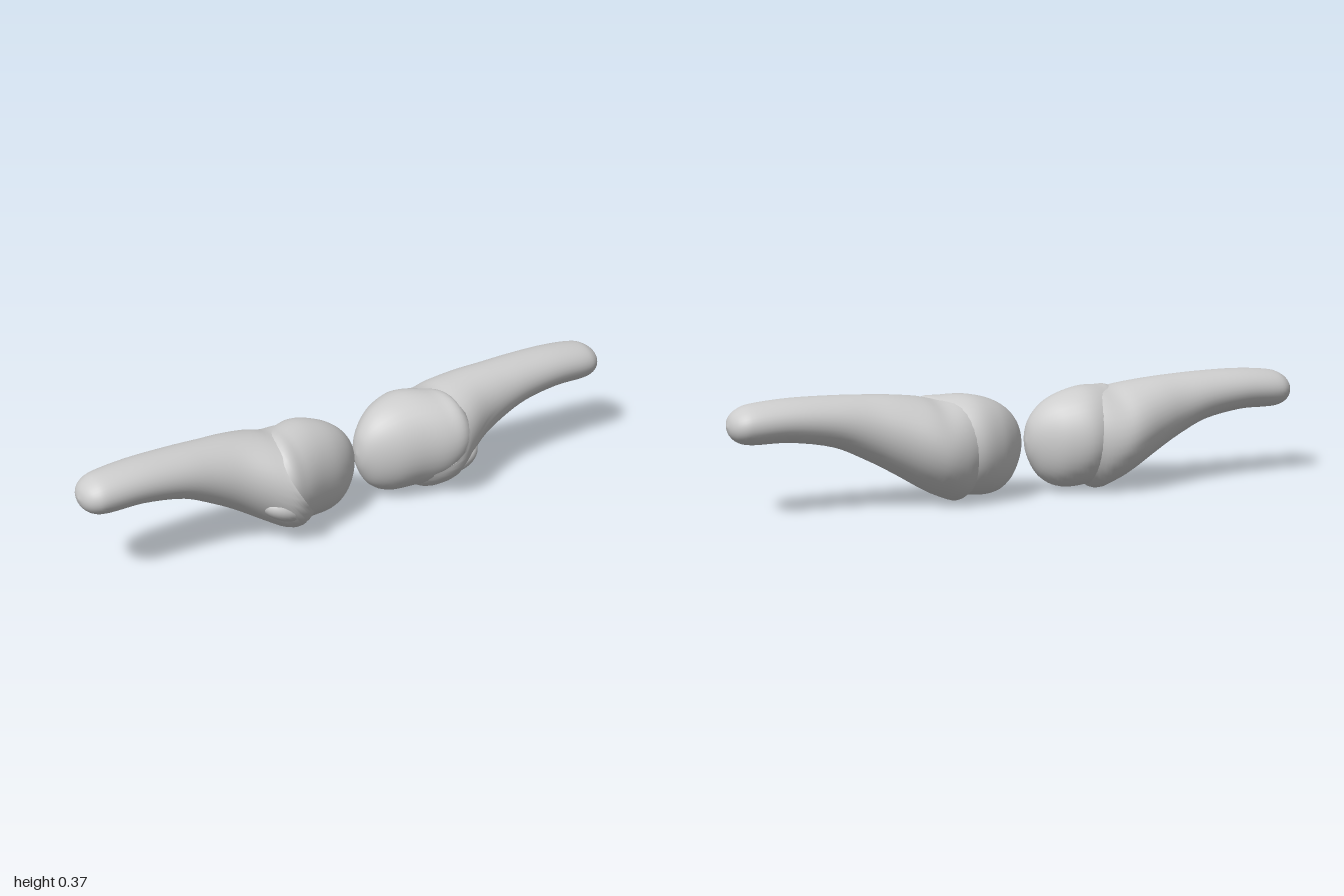
import * as THREE from 'three';
import { mergeVertices } from 'three/addons/utils/BufferGeometryUtils.js';

// Stations along x: [x, bottom y, top y, back z, front z]
const HORN = [
  [0.2, 0.03, 0.325, -0.155, 0.11],
  [0.25, 0.0, 0.335, -0.178, 0.15],
  [0.31, 0.018, 0.335, -0.19, 0.185],
  [0.37, 0.05, 0.348, -0.182, 0.16],
  [0.46, 0.105, 0.36, -0.152, 0.112],
  [0.55, 0.155, 0.366, -0.128, 0.09],
  [0.66, 0.205, 0.37, -0.115, 0.08],
  [0.8, 0.23, 0.37, -0.106, 0.075],
  [0.92, 0.231, 0.36, -0.098, 0.071],
  [0.965, 0.24, 0.345, -0.084, 0.058],
  [0.99, 0.262, 0.322, -0.054, 0.03],
  [1.0, 0.292, 0.292, -0.012, -0.012],
];
const CORE = [
  [0.01, 0.172, 0.172, -0.01, -0.01],
  [0.022, 0.115, 0.235, -0.05, 0.03],
  [0.06, 0.05, 0.288, -0.096, 0.07],
  [0.12, 0.016, 0.325, -0.142, 0.106],
  [0.2, 0.015, 0.346, -0.168, 0.135],
  [0.28, 0.03, 0.343, -0.14, 0.162],
  [0.34, 0.08, 0.33, -0.08, 0.165],
  [0.39, 0.13, 0.25, 0.0, 0.13],
  [0.41, 0.19, 0.19, 0.06, 0.06],
];

// Smooth loft of elliptical sections; trim(angle) sets where the surface starts
function loft(stations, side, trim = () => 0, rows = 44, cols = 36) {
  const curves = [1, 2, 3, 4].map(
    (k) => new THREE.SplineCurve(stations.map((s) => new THREE.Vector2(s[0], s[k])))
  );
  const pos = [], index = [];
  for (let i = 0; i <= rows; i++) {
    for (let j = 0; j < cols; j++) {
      const a = (j / cols) * Math.PI * 2;
      const t0 = trim(a);
      const t = t0 + (1 - t0) * (i / rows);
      const [b, u, k, f] = curves.map((c) => c.getPoint(t));
      pos.push(
        side * b.x,
        (b.y + u.y) / 2 + ((u.y - b.y) / 2) * Math.cos(a),
        (k.y + f.y) / 2 + ((f.y - k.y) / 2) * Math.sin(a)
      );
      if (i === rows) continue;
      const p = i * cols + j, q = i * cols + ((j + 1) % cols);
      const r = p + cols, s = q + cols;
      if (side > 0) index.push(p, q, r, q, s, r);
      else index.push(p, r, q, q, r, s);
    }
  }
  let geo = new THREE.BufferGeometry();
  geo.setAttribute('position', new THREE.Float32BufferAttribute(pos, 3));
  geo.setIndex(index);
  geo = mergeVertices(geo, 1e-5);
  geo.computeVertexNormals();
  return geo;
}

export function createModel() {
  const model = new THREE.Group();
  const grey = new THREE.MeshStandardMaterial({ color: 0xcccccc, side: THREE.DoubleSide });
  grey.name = 'pale grey';

  // The horn mouth is cut back at the upper front, where the core shows
  const mouth = (a) => 0.25 * Math.pow(Math.max(0, Math.cos(a - 0.95)), 1.5);

  for (const side of [1, -1]) {
    const horn = new THREE.Group();
    horn.name = side > 0 ? 'leftHorn' : 'rightHorn';
    const add = (name, geo) => {
      const mesh = new THREE.Mesh(geo, grey);
      mesh.name = name;
      horn.add(mesh);
      return mesh;
    };

    // Tapering outer sheath
    add('sheath', loft(HORN, side, mouth));
    // Rounded core at the root
    add('core', loft(CORE, side));
    // Small swelling low on the front
    const lobe = add('frontLobe', new THREE.SphereGeometry(1, 28, 18));
    lobe.scale.set(0.085, 0.045, 0.065);
    lobe.position.set(side * 0.335, 0.125, 0.098);
    lobe.rotation.z = side * 0.35;

    model.add(horn);
  }
  return model;
}
